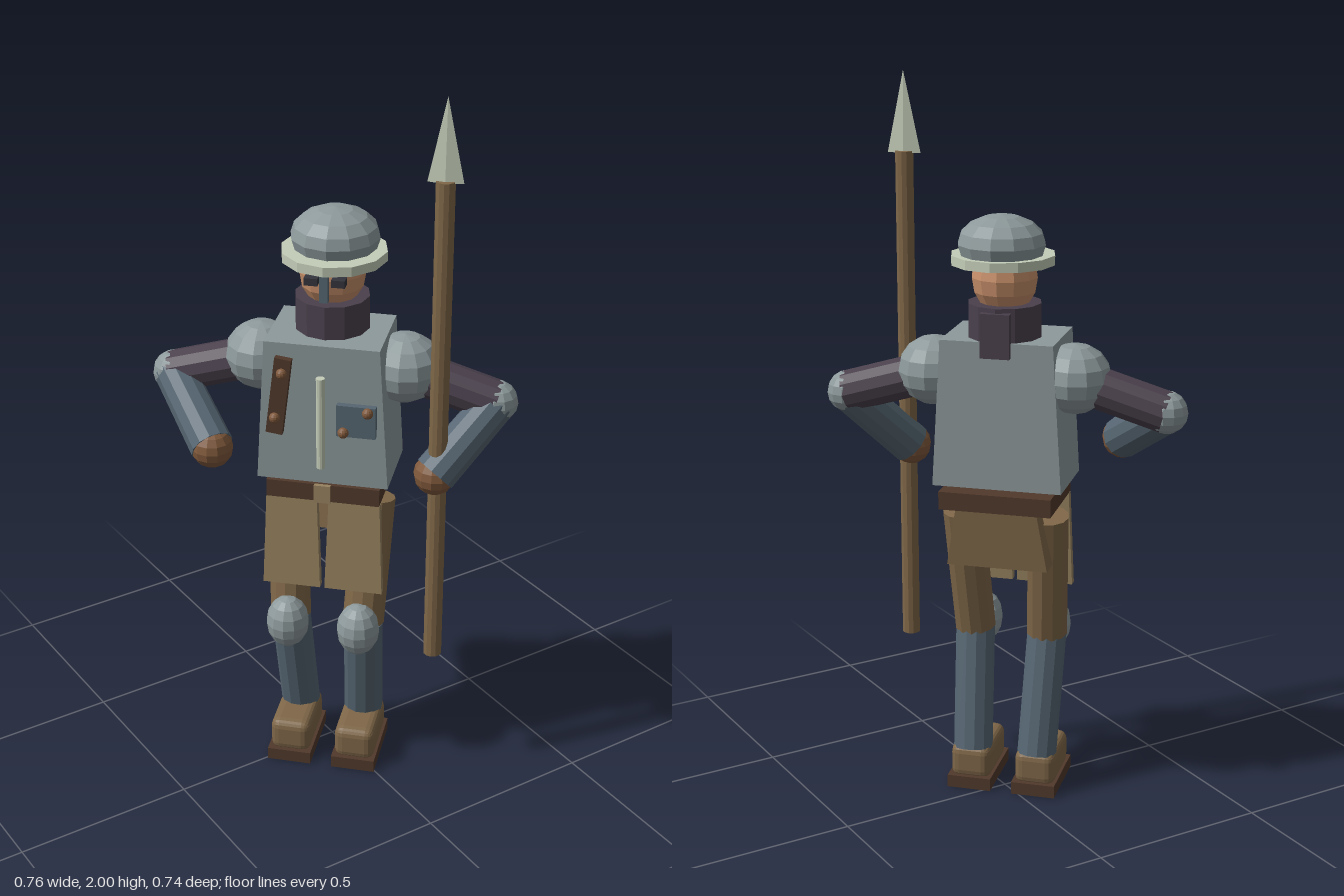
import * as THREE from 'three';
import { RoundedBoxGeometry } from 'three/addons/geometries/RoundedBoxGeometry.js';

const mat = (name, color) => {
  const m = new THREE.MeshStandardMaterial({ color, flatShading: true });
  m.name = name;
  return m;
};

// Box whose top and bottom rectangles differ: each is [halfWidth, zBack, zFront]
function taperedBox(y0, y1, bottom, top) {
  const g = new THREE.BoxGeometry(2, 1, 1);
  const p = g.attributes.position;
  for (let i = 0; i < p.count; i++) {
    const up = p.getY(i) > 0;
    const [a, back, front] = up ? top : bottom;
    p.setXYZ(i, p.getX(i) * a, up ? y1 : y0, p.getZ(i) > 0 ? front : back);
  }
  g.computeVertexNormals();
  return g;
}

export function createModel() {
  const steel = mat('armour steel', 0x8d999b);
  const pale = mat('pale metal', 0xc4cdb8);
  const cloth = mat('dark cloth', 0x4a404c);
  const blue = mat('blue steel', 0x566672);
  const brown = mat('brown cloth', 0x7f6748);
  const tan = mat('tan cloth', 0x96825f);
  const leather = mat('dark leather', 0x51392b);
  const skin = mat('skin', 0xc9916b);
  const glove = mat('glove leather', 0x80593c);
  const dark = mat('dark iron', 0x33343c);

  const soldier = new THREE.Group();
  soldier.name = 'soldier';

  const add = (name, geo, material, x = 0, y = 0, z = 0) => {
    const m = new THREE.Mesh(geo, material);
    m.name = name;
    m.position.set(x, y, z);
    soldier.add(m);
    return m;
  };
  const box = (name, material, w, h, d, x, y, z) =>
    add(name, new THREE.BoxGeometry(w, h, d), material, x, y, z);
  const ball = (name, material, r, x, y, z, sy = 1) => {
    const m = add(name, new THREE.SphereGeometry(r, 12, 8), material, x, y, z);
    m.scale.y = sy;
    return m;
  };
  // Cylinder between two points
  const limb = (name, material, a, b, r0, r1 = r0) => {
    const from = new THREE.Vector3(...a), to = new THREE.Vector3(...b);
    const dir = to.clone().sub(from);
    const m = add(name, new THREE.CylinderGeometry(r1, r0, dir.length(), 12), material);
    m.position.copy(from).add(to).multiplyScalar(0.5);
    m.quaternion.setFromUnitVectors(new THREE.Vector3(0, 1, 0), dir.normalize());
    return m;
  };

  // Head and helmet
  ball('head', skin, 0.09, 0, 1.48, 0, 1.15);
  ball('helmetDome', steel, 0.119, 0.005, 1.57, -0.012, 0.65);
  add('helmetBrim', new THREE.CylinderGeometry(0.141, 0.141, 0.026, 12), pale, 0.005, 1.528, 0.002);
  box('noseGuard', blue, 0.022, 0.085, 0.016, 0, 1.473, 0.106);
  for (const s of [-1, 1]) box('eye', dark, 0.036, 0.02, 0.03, s * 0.036, 1.482, 0.09);

  // Collar with a tab hanging at the back
  add('collar', new THREE.CylinderGeometry(0.1, 0.1, 0.1, 12), cloth, 0, 1.362, 0);
  box('collarTab', cloth, 0.08, 0.12, 0.03, 0, 1.34, -0.096);

  // Torso, belt and skirt
  add('torso', taperedBox(0.915, 1.32, [0.178, -0.095, 0.133], [0.154, -0.095, 0.139]), steel);
  box('belt', leather, 0.31, 0.05, 0.245, 0, 0.88, 0.005);
  box('beltBuckle', tan, 0.045, 0.052, 0.012, 0, 0.88, 0.131);
  add('backSkirt', taperedBox(0.69, 0.857, [0.14, -0.09, -0.01], [0.112, -0.1, -0.05]), brown);
  for (const s of [-1, 1]) {
    const flap = add('frontSkirtFlap', taperedBox(-0.27, 0, [0.08, -0.012, 0.012], [0.07, -0.012, 0.012]),
      tan, s * 0.086, 0.855, 0.115);
    flap.rotation.x = -0.03;
  }

  // Chest fittings
  limb('chestRod', pale, [0, 0.97, 0.148], [0, 1.235, 0.152], 0.012);
  const strap = box('chestStrap', leather, 0.045, 0.22, 0.02, -0.112, 1.172, 0.147);
  strap.rotation.z = -0.12;
  box('chestPlate', blue, 0.105, 0.09, 0.02, 0.095, 1.117, 0.145);
  for (const [x, y] of [[0.127, 1.148], [0.062, 1.085], [-0.102, 1.24], [-0.122, 1.11]])
    ball('stud', glove, 0.015, x, y, 0.158);

  // Legs and boots
  for (const s of [-1, 1]) {
    const knee = [s * 0.104, 0.455, 0.072];
    limb('thigh', brown, [s * 0.12, 0.82, 0.008], knee, 0.058);
    limb('shin', blue, knee, [s * 0.093, 0.11, 0], 0.055);
    ball('kneeCap', steel, 0.06, s * 0.1, 0.46, 0.128, 1.28);
    add('boot', new RoundedBoxGeometry(0.115, 0.1, 0.195, 2, 0.025), brown, s * 0.093, 0.075, 0.055);
    box('bootSole', leather, 0.125, 0.036, 0.215, s * 0.093, 0.018, 0.055);
  }

  // Arms: the left hand grips the spear, the right hand is held forward
  const hands = { '1': [0.3, 0.965, 0.11], '-1': [-0.292, 1.01, 0.168] };
  for (const s of [-1, 1]) {
    const elbow = [s * 0.442, 1.138, -0.005];
    ball('shoulderGuard', steel, 0.1, s * 0.195, 1.215, -0.005, 0.95);
    limb('upperArm', cloth, [s * 0.2, 1.21, -0.005], elbow, 0.058);
    ball('elbowGuard', steel, 0.058, ...elbow);
    limb('forearm', blue, elbow, hands[s], 0.056, 0.059);
    ball('hand', glove, 0.057, ...hands[s]);
  }

  // Spear
  limb('spearShaft', brown, [0.307, 0.4, 0.109], [0.307, 1.785, 0.109], 0.025);
  const tip = add('spearHead', new THREE.ConeGeometry(0.046, 0.22, 4), pale, 0.307, 1.89, 0.109);
  tip.scale.z = 0.22;

  // The figure stands turned toward its right
  soldier.rotation.y = -Math.PI / 4;
  const model = new THREE.Group();
  model.name = 'spearman';
  model.add(soldier);
  return model;
}
